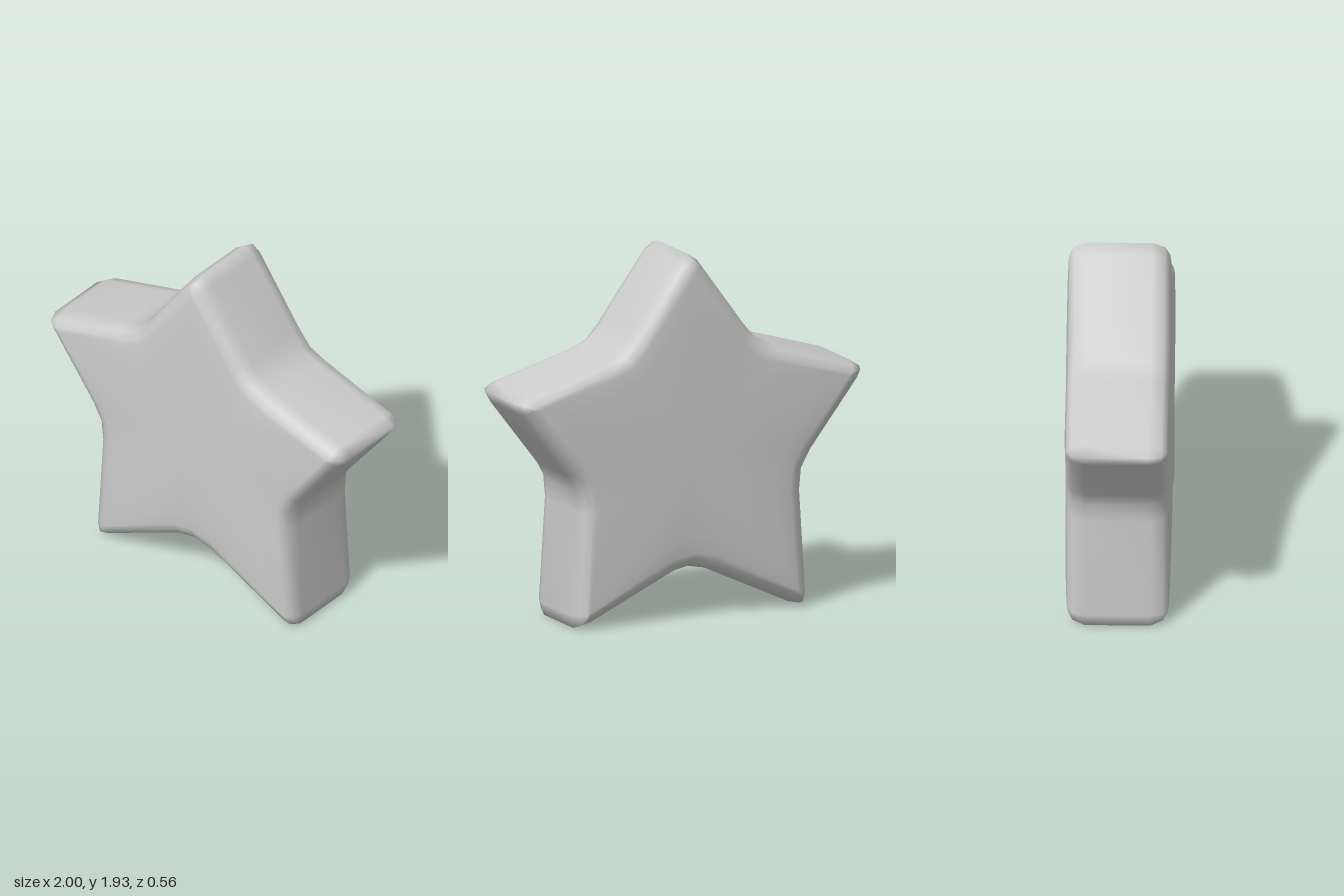
import * as THREE from 'three';
import { mergeVertices } from 'three/addons/utils/BufferGeometryUtils.js';

const V = (x, y) => new THREE.Vector2(x, y);

// Right half of the star outline, top tip to lower notch
const half = [
  [0, 1.93], [0.06, 1.89], [0.33, 1.52], [0.40, 1.44], [0.50, 1.40],
  [0.94, 1.27], [1.0, 1.23], [0.97, 1.17], [0.70, 0.82], [0.65, 0.73],
  [0.64, 0.62], [0.675, 0.07], [0.657, 0], [0.59, 0.015], [0.10, 0.245], [0, 0.265],
].map(([x, y]) => V(x, y));
const outline = [...half, ...half.slice(1, -1).reverse().map((p) => V(-p.x, p.y))];
const N = outline.length;
const at = (list, i) => list[(i + N) % N];
const tips = [0, 6, 12, N - 12, N - 6];
const centre = V(0, 0.9);

// Move every edge of the outline inwards by d
function inset(d) {
  const normal = (a, b) => V(a.y - b.y, b.x - a.x).normalize();
  return outline.map((p, i) => {
    const n1 = normal(at(outline, i - 1), p);
    const n2 = normal(p, at(outline, i + 1));
    const miter = n1.clone().add(n2).divideScalar(1 + n1.dot(n2));
    return p.clone().addScaledVector(miter, -d);
  });
}

// Inset for the face, with each blunt tip drawn together to a point
function faceRing(d) {
  const ring = inset(d);
  for (const t of tips) {
    const ids = [t - 1, t, t + 1].map((i) => (i + N) % N);
    const mid = V(0, 0);
    ids.forEach((i) => mid.addScaledVector(ring[i], 1 / 3));
    ids.forEach((i) => ring[i].copy(mid));
  }
  return ring;
}

function starGeometry() {
  const face = faceRing(0.085);
  const shrink = (s) => face.map((p) => centre.clone().lerp(p, s));
  // Gently domed face, rounded rim and flat side wall
  const front = [
    [shrink(0), 0.28], [shrink(0.5), 0.278], [shrink(0.85), 0.272], [face, 0.266],
    [inset(0.055), 0.26], [inset(0.02), 0.235], [outline, 0.17],
  ];
  const rings = [...front, ...front.map(([r, z]) => [r, -z]).reverse()];

  const positions = [];
  const index = [];
  rings.forEach(([ring, z], k) => {
    ring.forEach((p, i) => {
      positions.push(p.x, p.y, z);
      if (k === rings.length - 1) return;
      const j = (i + 1) % N;
      const a = k * N, b = a + N;
      if (k < rings.length - 2) index.push(a + i, b + j, b + i);
      if (k > 0) index.push(a + i, a + j, b + j);
    });
  });
  const geometry = new THREE.BufferGeometry();
  geometry.setAttribute('position', new THREE.Float32BufferAttribute(positions, 3));
  geometry.setIndex(index);
  const merged = mergeVertices(geometry, 1e-4);
  merged.computeVertexNormals();
  return merged;
}

export function createModel() {
  const group = new THREE.Group();
  group.name = 'roundedStar';
  const star = new THREE.Mesh(starGeometry(), new THREE.MeshStandardMaterial({ color: 0xcccccc }));
  star.name = 'starBody';
  group.add(star);
  return group;
}
